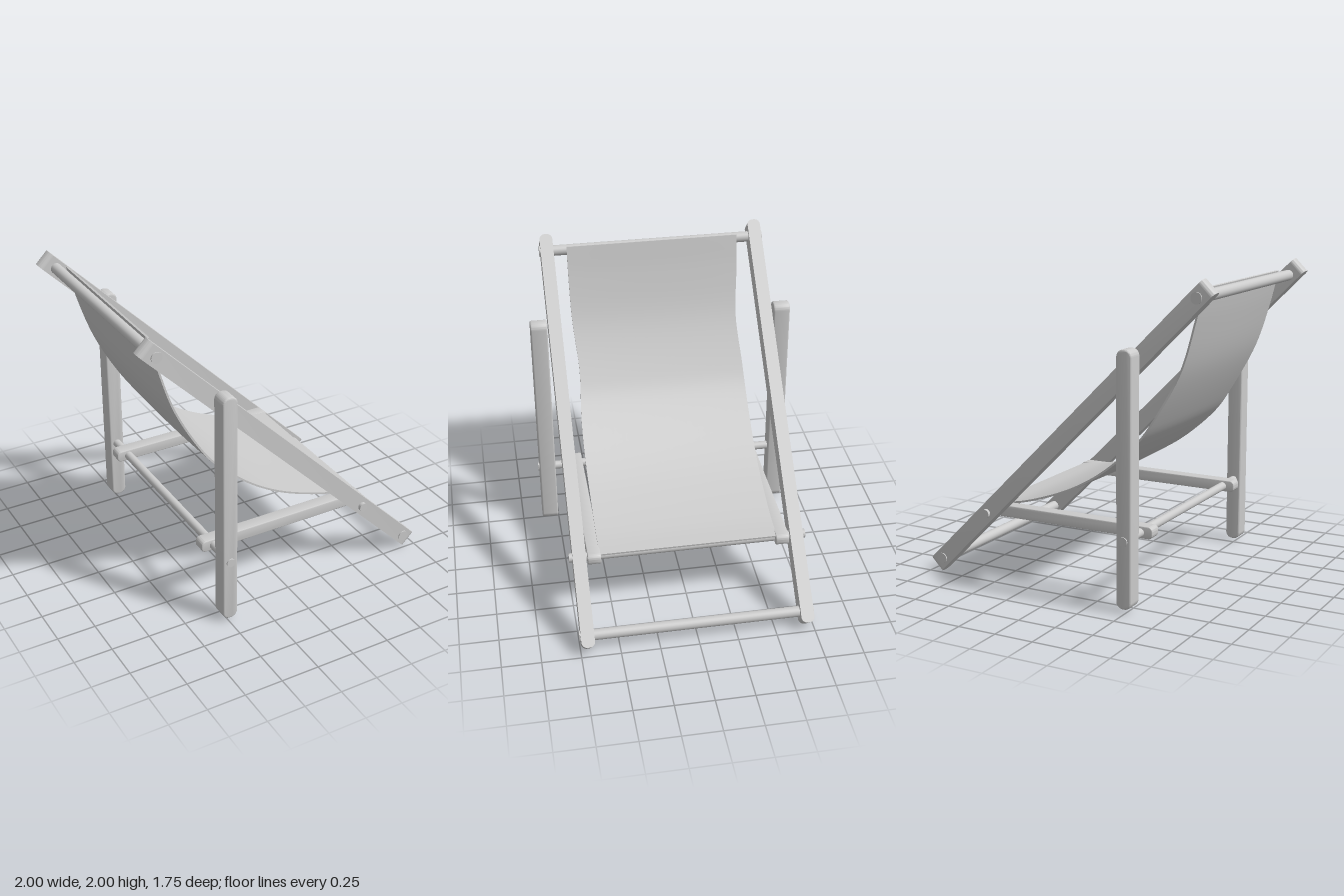
import * as THREE from 'three';
import { toCreasedNormals } from 'three/addons/utils/BufferGeometryUtils.js';

const material = new THREE.MeshStandardMaterial({ color: 0xcccccc });

function addMesh(parent, name, geometry) {
  const mesh = new THREE.Mesh(geometry, material);
  mesh.name = name;
  parent.add(mesh);
  return mesh;
}

// Bar lying along x: rounded outline in the xy plane, depth along z, centred.
function barGeometry(length, width, depth, radius, bevel) {
  const x = length / 2 - bevel, y = width / 2 - bevel, r = radius - bevel;
  const s = new THREE.Shape();
  s.moveTo(-x + r, -y);
  s.lineTo(x - r, -y);
  s.absarc(x - r, -y + r, r, -Math.PI / 2, 0);
  s.absarc(x - r, y - r, r, 0, Math.PI / 2);
  s.absarc(-x + r, y - r, r, Math.PI / 2, Math.PI);
  s.absarc(-x + r, -y + r, r, Math.PI, Math.PI * 1.5);
  const g = new THREE.ExtrudeGeometry(s, {
    depth: depth - 2 * bevel, curveSegments: 8,
    bevelEnabled: bevel > 0, bevelSize: bevel, bevelThickness: bevel, bevelSegments: 3,
  });
  g.translate(0, 0, -(depth / 2 - bevel));
  return toCreasedNormals(g, 0.6);
}

// Sagging cloth: a thin box bent along a curve, its side edges pulled in slightly.
function clothGeometry() {
  const curve = new THREE.CatmullRomCurve3([
    [-0.852, 1.93], [-0.80, 1.72], [-0.70, 1.42], [-0.53, 1.11], [-0.44, 0.985],
    [-0.2, 0.77], [0, 0.645], [0.2, 0.56], [0.43, 0.492], [0.595, 0.473],
  ].map(([x, y]) => new THREE.Vector3(x, y, 0)));
  const pinch = (u, at) => 0.025 * Math.exp(-(((u - at) / 0.12) ** 2));
  const g = new THREE.BoxGeometry(1, 0.012, 1, 48, 1, 16);
  const pos = g.attributes.position;
  for (let i = 0; i < pos.count; i++) {
    const u = THREE.MathUtils.clamp(pos.getX(i) + 0.5, 0, 1);
    const v = pos.getZ(i) * 2;
    const p = curve.getPointAt(u), t = curve.getTangentAt(u);
    const sag = 0.01 * (1 - v * v) * Math.sin(Math.PI * u);
    const n = pos.getY(i) - sag;
    const half = 0.574 - pinch(u, v > 0 ? 0.38 : 0.25);
    pos.setXYZ(i, p.x - t.y * n, p.y + t.x * n, v * half);
  }
  g.computeVertexNormals();
  return g;
}

export function createModel() {
  const chair = new THREE.Group();
  chair.name = 'deckChair';

  // Long sloping rails, rounded across their thickness
  const rail = barGeometry(2.72, 0.085, 0.11, 0.036, 0);
  rail.rotateX(Math.PI / 2);
  rail.rotateZ(-Math.PI / 4);
  rail.translate(0, 1, 0);

  // Upright rear legs
  const leg = barGeometry(1.565, 0.1, 0.11, 0.045, 0.01);
  leg.rotateZ(Math.PI / 2);
  leg.translate(-0.49, 0.805, 0);

  // Level struts that join the rear legs to the rails
  const strut = barGeometry(1.19, 0.076, 0.085, 0.03, 0.006);
  strut.translate(0.022, 0.447, 0);

  for (const [side, label] of [[1, 'left'], [-1, 'right']]) {
    addMesh(chair, label + 'Rail', rail).position.z = side * 0.703;
    addMesh(chair, label + 'RearLeg', leg).position.z = side * 0.81;
    addMesh(chair, label + 'Strut', strut).position.z = side * 0.609;
  }

  // Round crossbars: x, y, radius, half length
  const bars = {
    topCrossbar: [-0.89, 1.893, 0.035, 0.753],
    bottomCrossbar: [0.905, 0.095, 0.035, 0.753],
    seatCrossbar: [0.555, 0.445, 0.029, 0.767],
    rearLegCrossbar: [-0.49, 0.445, 0.028, 0.873],
  };
  for (const [name, [x, y, r, half]] of Object.entries(bars)) {
    const g = new THREE.CylinderGeometry(r, r, half * 2, 24);
    g.rotateX(Math.PI / 2);
    addMesh(chair, name, g).position.set(x, y, 0);
  }

  addMesh(chair, 'clothSeat', clothGeometry());
  return chair;
}
